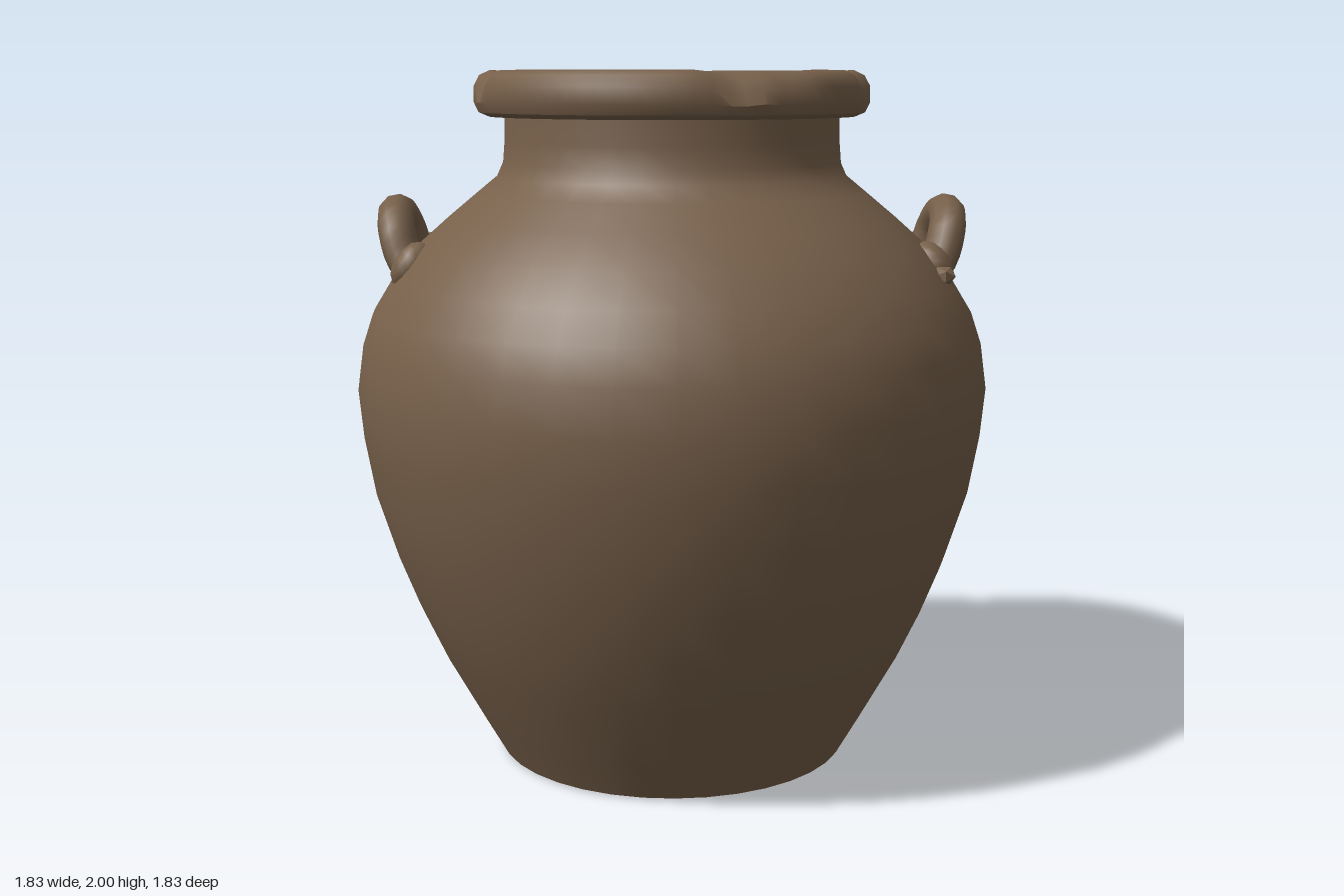
import * as THREE from 'three';
import { toCreasedNormals } from 'three/addons/utils/BufferGeometryUtils.js';

const clay = new THREE.MeshStandardMaterial({ color: 0x77604a });
clay.name = 'brown clay';

function part(name, geometry, crease = 0.7) {
  const mesh = new THREE.Mesh(toCreasedNormals(geometry, crease), clay);
  mesh.name = name;
  return mesh;
}

function lathe(profile, segments) {
  return new THREE.LatheGeometry(profile.map(([r, y]) => new THREE.Vector2(r, y)), segments);
}

// Push nearby vertices inward and down to make small chips
function chip(geometry, chips) {
  const p = geometry.attributes.position;
  const v = new THREE.Vector3();
  for (let i = 0; i < p.count; i++) {
    v.fromBufferAttribute(p, i);
    for (const [x, y, z, size, depth] of chips) {
      const d = Math.hypot(v.x - x, v.y - y, v.z - z);
      if (d < size) {
        const k = depth * (1 - d / size);
        const s = 1 - k / Math.hypot(v.x, v.z);
        v.set(v.x * s, v.y - k * 0.7, v.z * s);
      }
    }
    p.setXYZ(i, v.x, v.y, v.z);
  }
  return geometry;
}

// Looped handle, side = +1 or -1, with feet sunk in the shoulder
function makeHandle(side) {
  const path = new THREE.CatmullRomCurve3([
    [0.68, 1.41, 0.19], [0.755, 1.47, 0.145], [0.785, 1.56, 0.105], [0.795, 1.595, 0],
    [0.785, 1.56, -0.105], [0.755, 1.47, -0.145], [0.68, 1.41, -0.19],
  ].map(([x, y, z]) => new THREE.Vector3(x * side, y, z)));
  const group = new THREE.Group();
  group.name = side > 0 ? 'leftHandle' : 'rightHandle';
  group.add(part('handleLoop', new THREE.TubeGeometry(path, 24, 0.053, 10), 1.2));
  // Smeared clay where the loop meets the shoulder
  for (const z of [-0.165, 0.165]) {
    const smear = part('handleFoot', new THREE.SphereGeometry(1, 12, 8), 1.2);
    smear.scale.set(0.055, 0.075, 0.075);
    smear.position.set(0.735 * side, 1.455, z);
    smear.rotation.z = 0.6 * side;
    group.add(smear);
  }
  return group;
}

export function createModel() {
  const model = new THREE.Group();
  model.name = 'clayJar';

  // Recessed underside, belly, shoulder and neck
  model.add(part('body', lathe([
    [0, 0.07], [0.36, 0.065], [0.42, 0.045], [0.445, 0.01], [0.47, 0], [0.515, 0.005],
    [0.58, 0.12], [0.69, 0.32], [0.755, 0.46], [0.81, 0.6], [0.87, 0.79], [0.9, 0.96],
    [0.913, 1.1], [0.895, 1.23], [0.865, 1.32], [0.81, 1.41], [0.74, 1.5], [0.65, 1.58],
    [0.56, 1.655], [0.505, 1.7], [0.487, 1.74], [0.482, 1.8], [0.48, 1.9],
  ], 36)));

  // Thick rolled rim with worn chips
  const rim = lathe([
    [0.475, 1.875], [0.525, 1.87], [0.553, 1.882], [0.566, 1.91], [0.565, 1.955],
    [0.55, 1.985], [0.52, 1.999], [0.47, 1.995], [0.435, 1.98], [0.42, 1.955],
  ], 72);
  model.add(part('rim', chip(rim, [
    [0.17, 1.99, 0.53, 0.1, 0.04], [0.3, 1.99, 0.47, 0.1, 0.02], [-0.54, 1.98, 0.15, 0.07, 0.03],
    [0.05, 1.99, -0.54, 0.08, 0.02], [0.53, 1.98, 0.14, 0.1, 0.02],
  ])));

  // Inner neck wall and the flat surface that closes the mouth
  model.add(part('innerNeck', lathe([
    [0.42, 1.955], [0.42, 1.9], [0.43, 1.8], [0.445, 1.72], [0.46, 1.65],
  ], 48)));
  model.add(part('mouthFloor', lathe([[0.47, 1.65], [0, 1.65]], 48)));

  model.add(makeHandle(1), makeHandle(-1));

  // Broken stub of clay beside the left handle
  const stub = part('brokenStub', new THREE.IcosahedronGeometry(0.035, 0), 0.1);
  stub.scale.set(1, 0.8, 1.3);
  stub.position.set(0.755, 1.435, 0.245);
  model.add(stub);

  return model;
}
